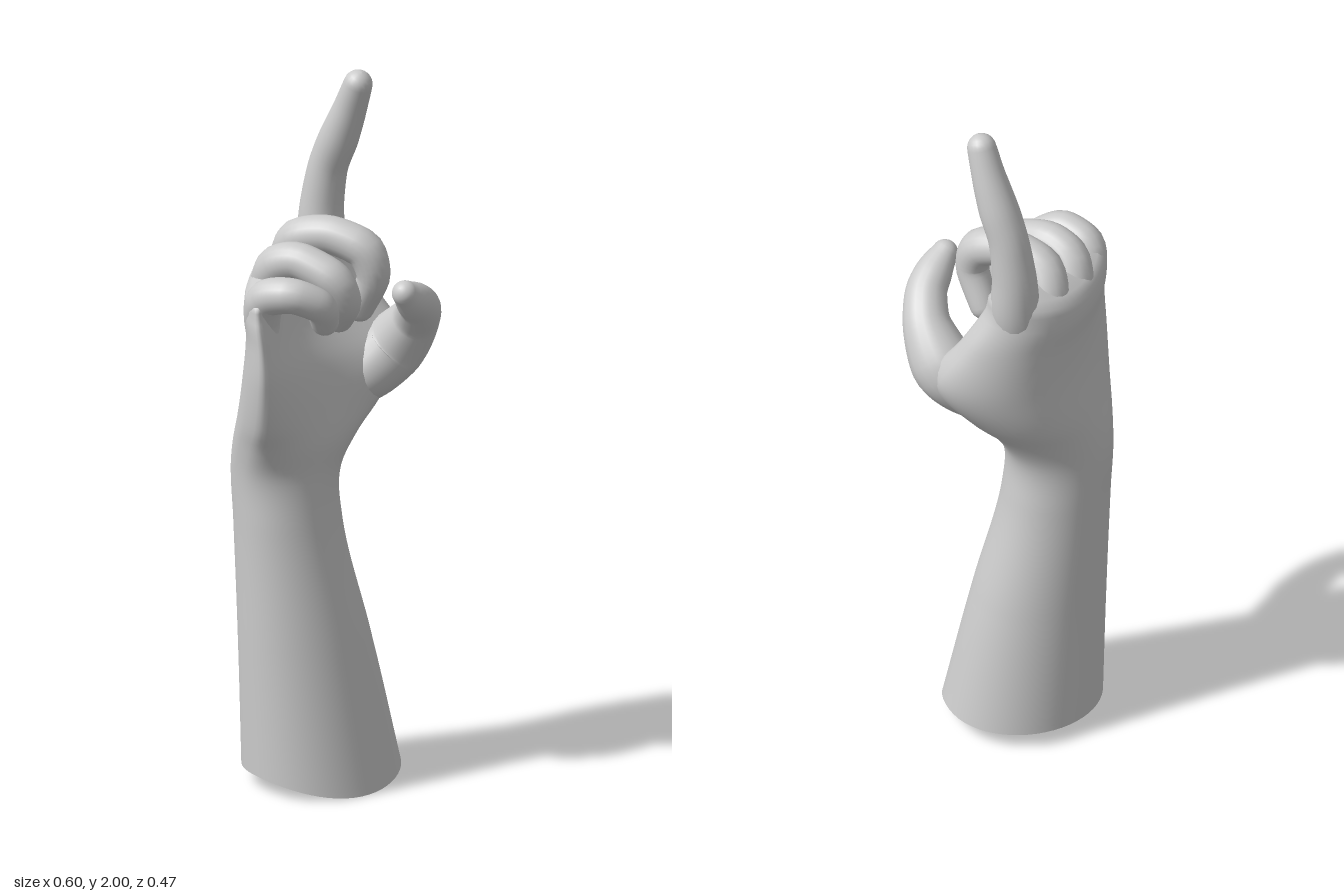
import * as THREE from 'three';

const material = new THREE.MeshStandardMaterial({ color: 0xcccccc });
const openMaterial = new THREE.MeshStandardMaterial({ color: 0xcccccc, side: THREE.DoubleSide });

// Smooth skin over closed rings of equal length
function skin(rings, mat, name) {
  const n = rings[0].length, index = [];
  for (let i = 0; i < rings.length - 1; i++) {
    for (let j = 0; j < n; j++) {
      const a = i * n + j, b = i * n + (j + 1) % n;
      index.push(a, b, a + n, b, b + n, a + n);
    }
  }
  const geometry = new THREE.BufferGeometry().setFromPoints(rings.flat());
  geometry.setIndex(index);
  geometry.computeVertexNormals();
  const mesh = new THREE.Mesh(geometry, mat);
  mesh.name = name;
  return mesh;
}

// Smooth interpolation through rows of numbers
function interpolate(keys, rows) {
  const curve = new THREE.CubicInterpolant(keys, rows.flat(), rows[0].length);
  return (t) => Array.from(curve.evaluate(t));
}

// Finger: rows of [x, y, z, radius], closed by a round tip
function finger(name, rows) {
  const points = rows.map(([x, y, z]) => new THREE.Vector3(x, y, z));
  const path = new THREE.CatmullRomCurve3(points, false, 'catmullrom', 0.38);
  const radiusAt = interpolate(rows.map((_, i) => i), rows.map((r) => [r[3]]));
  const steps = 36, sides = 20, rings = [];
  const frames = path.computeFrenetFrames(steps);
  const ring = (center, radius, k) => Array.from({ length: sides }, (_, j) => {
    const a = (j / sides) * Math.PI * 2;
    return center.clone()
      .addScaledVector(frames.normals[k], Math.cos(a) * radius)
      .addScaledVector(frames.binormals[k], Math.sin(a) * radius);
  });
  for (let k = 0; k <= steps; k++) {
    const t = path.getUtoTmapping(k / steps) * (rows.length - 1);
    rings.push(ring(path.getPointAt(k / steps), radiusAt(t)[0], k));
  }
  const end = path.getPoint(1), r = rows[rows.length - 1][3];
  for (let k = 1; k <= 6; k++) {
    const a = (k / 6) * Math.PI / 2;
    const center = end.clone().addScaledVector(frames.tangents[steps], r * Math.sin(a));
    rings.push(ring(center, r * Math.cos(a), steps));
  }
  return skin(rings, material, name);
}

// Forearm, wrist, cupped palm and thumb web as one loft, open at the cut end
function forearmAndPalm() {
  // y, x min, x max, z centre, half depth, cupping, slant in z, slant in y, roundness
  const rows = [
    [0.00, -0.24, 0.20, -0.02, 0.205, 0, 0, 0, 0.95],
    [0.40, -0.245, 0.125, -0.04, 0.17, 0, 0, 0, 0.95],
    [0.75, -0.25, 0.045, -0.06, 0.142, 0, 0, 0, 0.9],
    [0.90, -0.257, 0.042, -0.065, 0.138, 0.005, 0, 0, 0.85],
    [0.99, -0.27, 0.095, -0.067, 0.145, 0.03, -0.02, 0, 0.8],
    [1.06, -0.285, 0.165, -0.078, 0.145, 0.065, -0.045, 0, 0.78],
    [1.20, -0.30, 0.26, -0.097, 0.128, 0.112, -0.065, 0, 0.75],
    [1.33, -0.30, 0.20, -0.118, 0.098, 0.105, -0.10, 0.02, 0.75],
    [1.43, -0.297, 0.138, -0.125, 0.085, 0.09, -0.105, 0.035, 0.75],
    [1.485, -0.275, 0.12, -0.12, 0.062, 0.075, -0.10, 0.045, 0.8],
    [1.505, -0.21, 0.07, -0.11, 0.02, 0.04, -0.07, 0.045, 0.9],
  ];
  const sectionAt = interpolate(rows.map((r) => r[0]), rows.map((r) => r.slice(1)));
  const sides = 56, steps = 80, rings = [];
  for (let i = 0; i <= steps; i++) {
    const y = 1.505 * i / steps;
    const [x0, x1, zc, depth, cup, slantZ, slantY, round] = sectionAt(y);
    const rim = 0.045 * Math.max(0, 1 - y / 0.4);
    rings.push(Array.from({ length: sides }, (_, j) => {
      const a = (j / sides) * Math.PI * 2, u = Math.cos(a), s = -Math.sin(a);
      return new THREE.Vector3(
        (x0 + x1) / 2 + u * (x1 - x0) / 2,
        y + slantY * u + rim * (1 - Math.max(0, s) ** 2),
        zc + slantZ * u + cup * u * u + depth * Math.sign(s) * Math.abs(s) ** round,
      );
    }));
  }
  // Close the top between the knuckles
  const center = rings[steps].reduce((sum, p) => sum.add(p), new THREE.Vector3()).divideScalar(sides);
  rings.push(rings[steps].map(() => center.clone()));
  return skin(rings, openMaterial, 'forearmAndPalm');
}

export function createModel() {
  const group = new THREE.Group();
  group.name = 'pointingHand';
  group.add(
    forearmAndPalm(),
    finger('indexFinger', [
      [0.04, 1.25, -0.135, 0.055], [0.065, 1.45, -0.158, 0.068], [0.07, 1.58, -0.163, 0.061],
      [0.08, 1.70, -0.147, 0.055], [0.095, 1.79, -0.115, 0.055], [0.108, 1.88, -0.08, 0.047],
      [0.115, 1.96, -0.048, 0.04],
    ]),
    finger('middleFinger', [
      [-0.03, 1.32, -0.13, 0.05], [-0.04, 1.45, -0.14, 0.06], [-0.045, 1.53, -0.095, 0.057],
      [0.005, 1.556, -0.015, 0.053], [0.065, 1.525, 0.065, 0.054], [0.082, 1.45, 0.085, 0.046],
      [0.07, 1.35, 0.035, 0.04],
    ]),
    finger('ringFinger', [
      [-0.13, 1.30, -0.065, 0.045], [-0.145, 1.41, -0.075, 0.058], [-0.152, 1.49, -0.035, 0.056],
      [-0.12, 1.515, 0.03, 0.052], [-0.065, 1.475, 0.115, 0.053], [-0.035, 1.41, 0.125, 0.046],
      [-0.025, 1.35, 0.08, 0.04],
    ]),
    finger('littleFinger', [
      [-0.23, 1.28, 0.025, 0.04], [-0.24, 1.37, 0.03, 0.05], [-0.245, 1.44, 0.06, 0.052],
      [-0.205, 1.46, 0.13, 0.049], [-0.135, 1.425, 0.16, 0.045], [-0.105, 1.37, 0.135, 0.039],
    ]),
    finger('thumb', [
      [0.05, 1.07, -0.06, 0.05], [0.13, 1.13, -0.035, 0.082], [0.205, 1.21, 0.0, 0.09],
      [0.222, 1.30, 0.075, 0.068], [0.195, 1.36, 0.14, 0.058], [0.15, 1.40, 0.178, 0.05],
      [0.113, 1.43, 0.198, 0.036],
    ]),
  );
  return group;
}
